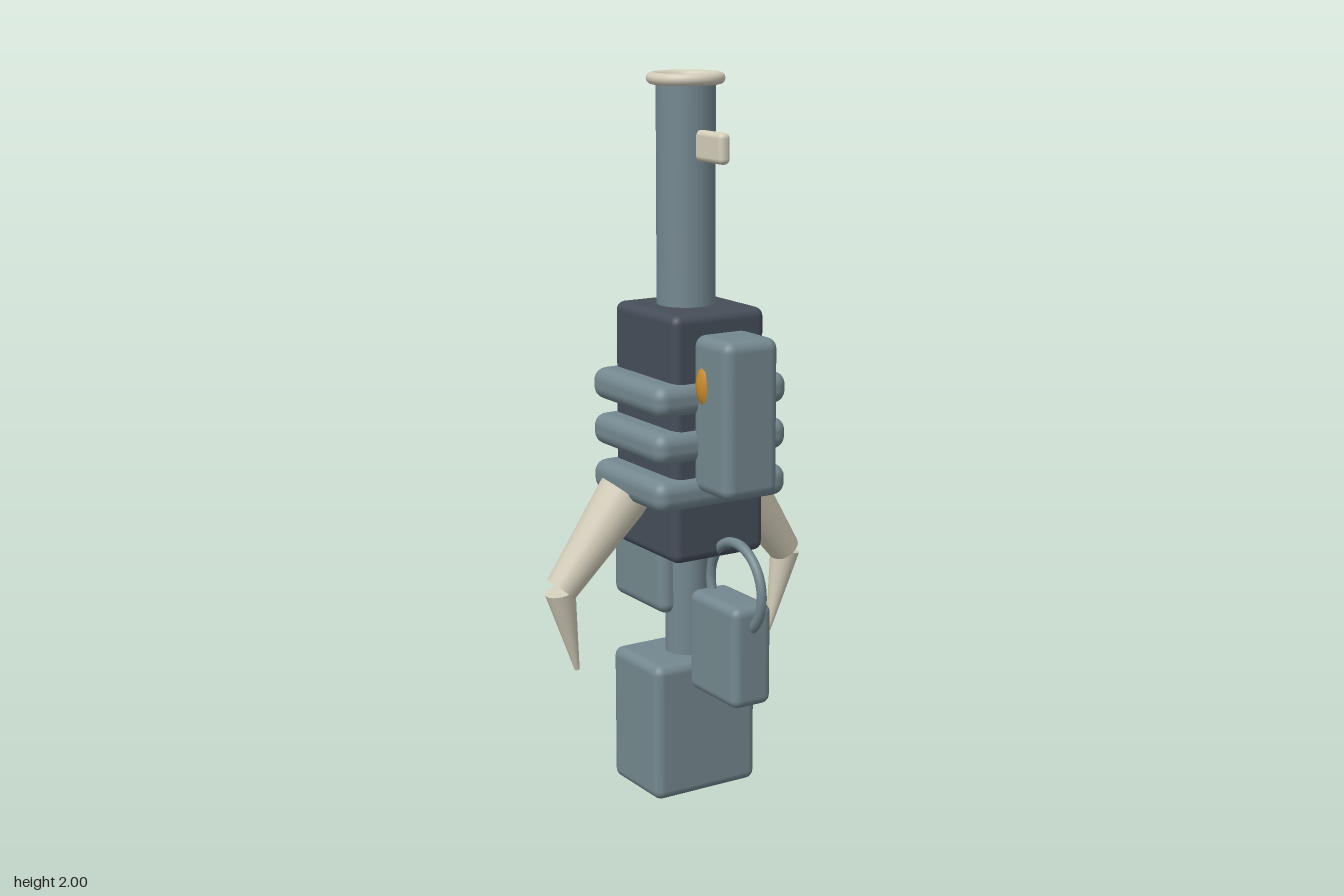
import * as THREE from 'three';
import { RoundedBoxGeometry } from 'three/addons/geometries/RoundedBoxGeometry.js';

const mat = (name, color) => {
  const m = new THREE.MeshStandardMaterial({ color });
  m.name = name;
  return m;
};

export function createModel() {
  const steel = mat('blue grey steel', 0x74888f);
  const dark = mat('dark slate', 0x464e59);
  const bone = mat('pale bone', 0xd2ccb9);
  const brass = mat('brass', 0xc98a2c);
  const model = new THREE.Group();
  model.name = 'clawedDevice';

  const add = (name, geometry, material, x = 0, y = 0, z = 0) => {
    const mesh = new THREE.Mesh(geometry, material);
    mesh.name = name;
    mesh.position.set(x, y, z);
    model.add(mesh);
    return mesh;
  };
  // Rounded block given by half width and its y and z limits
  const block = (name, material, hx, y0, y1, z0, z1, r) =>
    add(name, new RoundedBoxGeometry(hx * 2, y1 - y0, z1 - z0, 3, r), material,
      0, (y0 + y1) / 2, (z0 + z1) / 2);
  // Tapered limb between two points
  const limb = (name, a, b, ra, rb) => {
    const dir = b.clone().sub(a);
    const mesh = add(name, new THREE.CylinderGeometry(rb, ra, dir.length(), 20), bone);
    mesh.position.copy(a).lerp(b, 0.5);
    mesh.quaternion.setFromUnitVectors(new THREE.Vector3(0, 1, 0), dir.normalize());
  };
  const axisZ = -0.07;

  // Main body with three bands around it
  block('body', dark, 0.145, 0.7, 1.38, -0.213, 0.103, 0.025);
  for (const y of [1.155, 1.027, 0.896])
    block('bodyBand', steel, 0.21, y - 0.044, y + 0.044, -0.235, 0.125, 0.036);

  // Upper tube, its recessed domed end and its rim
  add('upperTube', new THREE.CylinderGeometry(0.08, 0.08, 0.66, 32, 1, true), steel, 0, 1.65, axisZ);
  add('tubeMouth', new THREE.LatheGeometry([[0.08, 1.98], [0.066, 1.978], [0.066, 1.94]]
    .map(([x, y]) => new THREE.Vector2(x, y)).reverse(), 32), dark, 0, 0, axisZ).material = steel;
  const dome = add('mouthDome',
    new THREE.SphereGeometry(0.067, 32, 10, 0, Math.PI * 2, 0, Math.PI / 2), steel, 0, 1.935, axisZ);
  dome.scale.y = 0.5;
  const rim = add('tubeRim', new THREE.TorusGeometry(0.09, 0.016, 12, 36), bone, 0, 1.984, axisZ);
  rim.rotation.x = Math.PI / 2;
  block('sightPeg', bone, 0.017, 1.77, 1.853, -0.01, 0.127, 0.015);

  // Front case with a brass ring showing at both sides
  block('frontCase', steel, 0.085, 0.9, 1.327, 0.09, 0.26, 0.03);
  add('brassRing', new THREE.TorusGeometry(0.066, 0.033, 12, 28), brass, 0, 1.195, 0.142);

  // Lower tube, rear case and foot block
  add('lowerTube', new THREE.CylinderGeometry(0.06, 0.06, 0.42, 28), steel, 0, 0.55, axisZ);
  block('rearCase', steel, 0.094, 0.507, 0.853, -0.321, -0.05, 0.03);
  block('footBlock', steel, 0.165, 0, 0.392, -0.204, 0.04, 0.026);

  // Hanging pouch and loop
  block('hangingPouch', steel, 0.062, 0.32, 0.605, 0.035, 0.268, 0.025);
  const loop = add('hangingLoop', new THREE.TorusGeometry(0.124, 0.014, 10, 36), steel, 0, 0.637, 0.18);
  loop.rotation.y = Math.PI / 2;

  // Mirrored claw arms
  for (const s of [1, -1]) {
    const side = s > 0 ? 'left' : 'right';
    const shoulder = new THREE.Vector3(0.18 * s, 0.865, -0.1);
    const elbow = new THREE.Vector3(0.37 * s, 0.615, -0.124);
    const tip = new THREE.Vector3(0.321 * s, 0.373, -0.13);
    limb(side + 'UpperArm', shoulder, elbow, 0.075, 0.046);
    limb(side + 'Claw', new THREE.Vector3(0.374 * s, 0.61, -0.124), tip, 0.043, 0.007);
  }
  return model;
}
